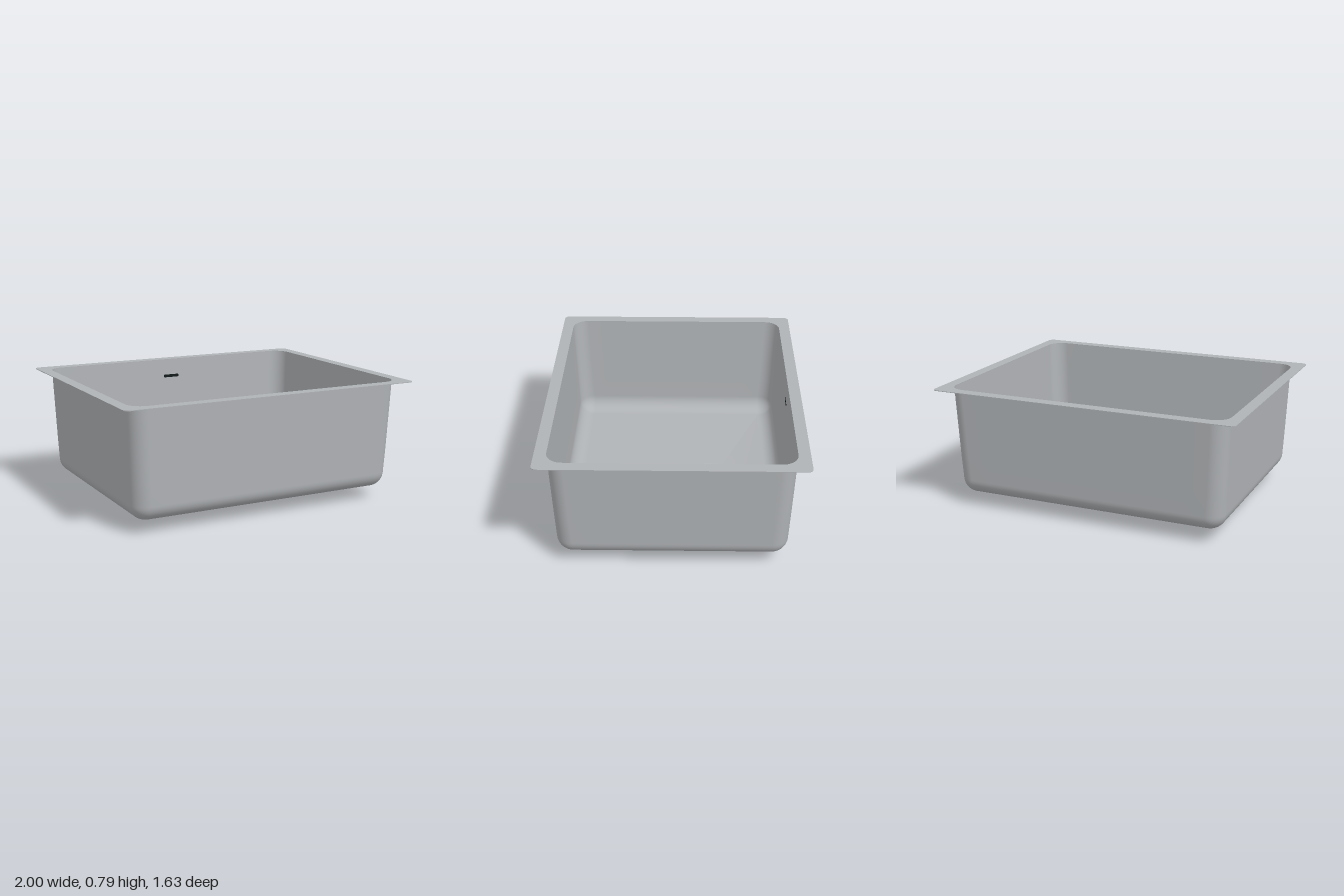
import * as THREE from 'three';

const RIM_Y = 0.79;
const DRAIN_Z = -0.265;
const DRAIN_R = 0.185;

const steel = new THREE.MeshStandardMaterial({ color: 0xb0b3b6, side: THREE.DoubleSide });
steel.name = 'steel';
const dark = new THREE.MeshStandardMaterial({ color: 0x141a1b, side: THREE.DoubleSide });
dark.name = 'dark opening';

function part(name, geometry, material) {
  const mesh = new THREE.Mesh(geometry, material);
  mesh.name = name;
  return mesh;
}

// Outline of a rounded rectangle, with the same point count for any size
function roundedLoop(hx, hz, r, arc = 10, straight = 12) {
  const points = [];
  const signs = [[1, 1], [-1, 1], [-1, -1], [1, -1]];
  const corner = (k, i) => {
    const a = (k + i / arc) * Math.PI / 2;
    return new THREE.Vector2(
      signs[k][0] * (hx - r) + r * Math.cos(a),
      signs[k][1] * (hz - r) + r * Math.sin(a));
  };
  for (let k = 0; k < 4; k++) {
    for (let i = 0; i <= arc; i++) points.push(corner(k, i));
    const from = corner(k, arc), to = corner((k + 1) % 4, 0);
    for (let i = 1; i < straight; i++) points.push(from.clone().lerp(to, i / straight));
  }
  return points;
}

// Skin over a stack of closed loops
function loft(loops) {
  const n = loops[0].length, index = [];
  for (let j = 0; j < loops.length - 1; j++) {
    for (let i = 0; i < n; i++) {
      const a = j * n + i, b = j * n + (i + 1) % n;
      index.push(a, b, a + n, b, b + n, a + n);
    }
  }
  const geometry = new THREE.BufferGeometry().setFromPoints(loops.flat());
  geometry.setIndex(index);
  geometry.computeVertexNormals();
  return geometry;
}

// Tapered walls, bottom fillet and floor falling to the drain
function basinGeometry() {
  const loops = [];
  const add = (hx, hz, r, y) =>
    loops.push(roundedLoop(hx, hz, r).map(p => new THREE.Vector3(p.x, y, p.y)));
  for (let i = 0; i < 4; i++) {
    const t = i / 4;
    add(0.926 - 0.023 * t, 0.741 - 0.024 * t, 0.1, RIM_Y - 0.61 * t);
  }
  const steps = 10, R = 0.1;
  for (let i = 0; i <= steps; i++) {
    const a = i / steps * Math.PI / 2;
    const inset = R * (1 - Math.cos(a));
    add(0.903 - inset, 0.717 - inset, 0.105 - inset, 0.18 - R * Math.sin(a));
  }
  const edge = loops[loops.length - 1];
  const centre = new THREE.Vector3(0, 0.056, DRAIN_Z);
  const ring = edge.map(p => {
    const d = p.clone().sub(centre).setY(0).setLength(DRAIN_R);
    return d.add(centre);
  });
  for (const t of [0.04, 0.25, 0.5, 0.75, 1]) {
    loops.push(edge.map((p, i) => p.clone().lerp(ring[i], t)));
  }
  return loft(loops);
}

// Thin flat flange around the opening
function flangeGeometry() {
  const shape = new THREE.Shape(roundedLoop(1, 0.815, 0.035));
  shape.holes.push(new THREE.Path(roundedLoop(0.926, 0.741, 0.1)));
  const geometry = new THREE.ExtrudeGeometry(shape, { depth: 0.004, bevelEnabled: false });
  geometry.rotateX(Math.PI / 2);
  geometry.translate(0, RIM_Y + 0.002, 0);
  return geometry;
}

// Perforated disc with two rings of holes
function strainerGeometry() {
  const shape = new THREE.Shape().absarc(0, 0, 0.137, 0, Math.PI * 2);
  for (const [count, radius] of [[18, 0.097], [12, 0.062]]) {
    for (let i = 0; i < count; i++) {
      const a = i / count * Math.PI * 2;
      const hole = new THREE.Path();
      hole.absarc(radius * Math.cos(a), radius * Math.sin(a), 0.009, 0, Math.PI * 2, true);
      shape.holes.push(hole);
    }
  }
  return new THREE.ShapeGeometry(shape, 24).rotateX(-Math.PI / 2);
}

function createDrain() {
  const drain = new THREE.Group();
  drain.name = 'drain';
  drain.position.z = DRAIN_Z;

  // Dished collar and outlet
  const dish = [[0.137, 0.024], [0.138, 0.032], [0.142, 0.041], [0.15, 0.05], [0.165, 0.055], [DRAIN_R, 0.056]];
  const toPoints = list => list.map(([x, y]) => new THREE.Vector2(x, y));
  drain.add(part('drainCollar', new THREE.LatheGeometry(toPoints(dish), 64), steel));
  drain.add(part('drainOutlet', new THREE.LatheGeometry(toPoints([[0.137, 0], [0.137, 0.024]]), 64), steel));

  const strainer = part('strainer', strainerGeometry(), steel);
  strainer.position.y = 0.02;
  drain.add(strainer);

  const button = part('strainerButton', new THREE.CylinderGeometry(0.025, 0.025, 0.006, 32), steel);
  button.position.y = 0.022;
  drain.add(button);

  // Dark pipe opening under the strainer
  const opening = part('pipeOpening', new THREE.CylinderGeometry(0.135, 0.135, 0.008, 48), dark);
  opening.position.y = 0.005;
  drain.add(opening);
  return drain;
}

// Overflow slot high on the back wall
function createOverflow() {
  const shape = new THREE.Shape();
  shape.absarc(0.05, 0, 0.01, -Math.PI / 2, Math.PI / 2);
  shape.absarc(-0.05, 0, 0.01, Math.PI / 2, Math.PI * 1.5);
  const slot = part('overflowSlot', new THREE.ShapeGeometry(shape, 10), dark);
  slot.position.set(0, 0.67, -0.733);
  slot.rotation.x = -0.04;
  return slot;
}

export function createModel() {
  const sink = new THREE.Group();
  sink.name = 'sink';
  sink.add(
    part('basin', basinGeometry(), steel),
    part('flange', flangeGeometry(), steel),
    createDrain(),
    createOverflow());
  return sink;
}
